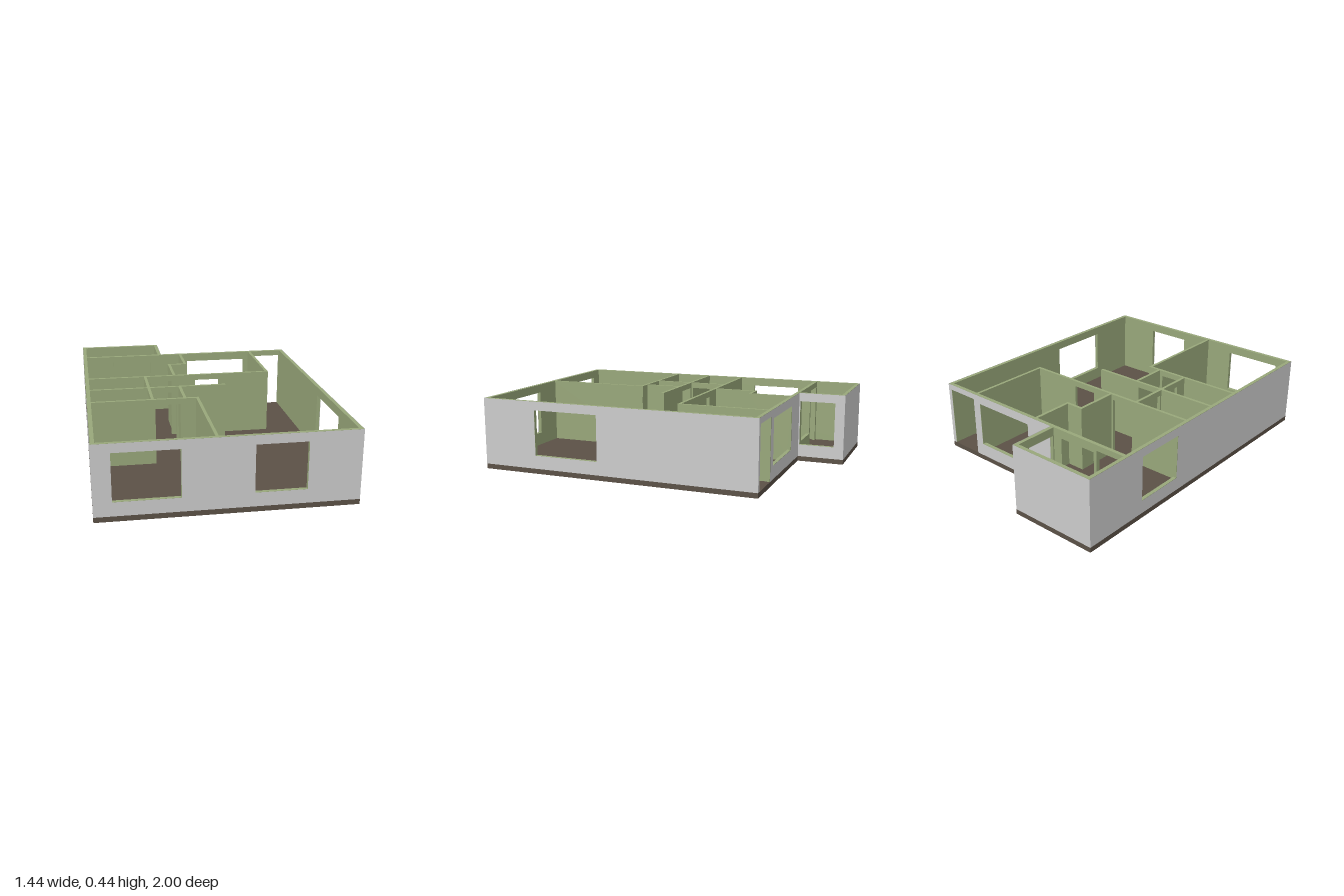
import * as THREE from 'three';

const FLOOR = 0.03, TOP = 0.435, DOOR = 0.4;
const OUTER = 0.022, INNER = 0.018, SKIN = 0.002;

const mat = (name, color, side = THREE.FrontSide) =>
  Object.assign(new THREE.MeshStandardMaterial({ color, side }), { name });

// opening helpers: [start, end, bottom, top] along the wall
const win = (a, b, y0 = 0.11, y1 = 0.383) => [a, b, y0, y1];
const door = (a, b) => [a, b, FLOOR, DOOR];

// upright wall outline: doors notch the bottom edge, windows are holes
function wallShape(a, b, openings) {
  const s = new THREE.Shape();
  s.moveTo(a, FLOOR);
  openings.filter(o => o[2] <= FLOOR).sort((p, q) => p[0] - q[0]).forEach(([x0, x1, , y1]) => {
    s.lineTo(x0, FLOOR); s.lineTo(x0, y1); s.lineTo(x1, y1); s.lineTo(x1, FLOOR);
  });
  s.lineTo(b, FLOOR); s.lineTo(b, TOP); s.lineTo(a, TOP); s.closePath();
  openings.filter(o => o[2] > FLOOR).forEach(([x0, x1, y0, y1]) => {
    const h = new THREE.Path();
    h.moveTo(x0, y0); h.lineTo(x0, y1); h.lineTo(x1, y1); h.lineTo(x1, y0); h.closePath();
    s.holes.push(h);
  });
  return s;
}

export function createModel() {
  const house = new THREE.Group();
  house.name = 'floorPlanHouse';
  const green = mat('greenWall', 0x98a77a);
  const grey = mat('greyFacade', 0xcccccc, THREE.DoubleSide);
  const brown = mat('brownFloor', 0x5b5146);

  // put a geometry drawn in the xy plane along the chosen axis, at a position across it
  const place = (name, geo, material, axis, pos) => {
    if (axis === 'z') geo.rotateY(-Math.PI / 2);
    const mesh = new THREE.Mesh(geo, material);
    mesh.name = name;
    mesh.position[axis === 'x' ? 'z' : 'x'] = pos;
    house.add(mesh);
  };
  const wall = (name, axis, pos, a, b, openings = [], thick = INNER) => {
    const geo = new THREE.ExtrudeGeometry(wallShape(a, b, openings), { depth: thick, bevelEnabled: false });
    place(name, geo.translate(0, 0, -thick / 2), green, axis, pos);
  };
  // outer wall: green body with a grey face on the outside, which lies at "face"
  const outerWall = (name, axis, face, dir, a, b, openings = [], skinFrom = a) => {
    wall(name, axis, face - dir * (SKIN + OUTER / 2), a + SKIN, b - SKIN, openings, OUTER);
    const shown = openings.filter(o => o[0] > skinFrom);
    place(name + 'Facade', new THREE.ShapeGeometry(wallShape(skinFrom, b, shown)), grey, axis, face);
  };

  // floor slab with the rear annex
  const plan = new THREE.Shape([
    [-0.72, -1], [0.72, -1], [0.72, 0.715], [-0.17, 0.715], [-0.17, 1], [-0.72, 1],
  ].map(p => new THREE.Vector2(...p)));
  const slab = new THREE.Mesh(new THREE.ExtrudeGeometry(plan, { depth: FLOOR, bevelEnabled: false }), brown);
  slab.name = 'floorSlab';
  slab.rotation.x = -Math.PI / 2;
  house.add(slab);

  // outer walls
  outerWall('frontWall', 'x', 1, 1, -0.72, 0.72, [win(-0.62, -0.257), win(0.135, 0.423)]);
  outerWall('leftWall', 'z', 0.72, 1, -0.715, 1, [win(0.245, 0.653)]);
  outerWall('rightWall', 'z', -0.72, -1, -1, 1, [win(-0.58, -0.265)]);
  outerWall('backWall', 'x', -0.715, -1, -0.72, 0.72,
    [door(-0.67, -0.51), win(-0.49, -0.25), win(0.015, 0.43), door(0.485, 0.695)], -0.17);
  outerWall('annexBackWall', 'x', -1, -1, -0.72, -0.17);
  outerWall('annexSideWall', 'z', -0.17, 1, -1, -0.713, [win(-0.94, -0.722, 0.105)]);

  // inner walls: name, direction, position, start, end, doors
  [
    ['rearRoomDivider', 'z', -0.036, -0.7, -0.426],
    ['rearRoomJog', 'x', -0.435, -0.154, -0.027],
    ['rearRoomDividerInner', 'z', -0.145, -0.44, -0.165],
    ['rearRoomSideWall', 'z', 0.471, -0.7, -0.156],
    ['hallRearWall', 'x', -0.165, -0.705, 0.48, [door(-0.315, -0.165), door(-0.01, 0.147)]],
    ['bathWall', 'z', -0.335, -0.165, 0.325, [door(-0.075, 0.06), door(0.1, 0.235)]],
    ['hallFrontWall', 'x', 0.08, -0.705, 0.147, [door(-0.315, -0.165)]],
    ['closetWall', 'z', -0.142, 0.08, 0.325],
    ['frontRoomRearWall', 'x', 0.32, -0.705, -0.06, [door(-0.32, -0.17)]],
    ['frontRoomSideWall', 'z', -0.068, 0.312, 0.985],
  ].forEach(w => wall(...w));

  return house;
}
